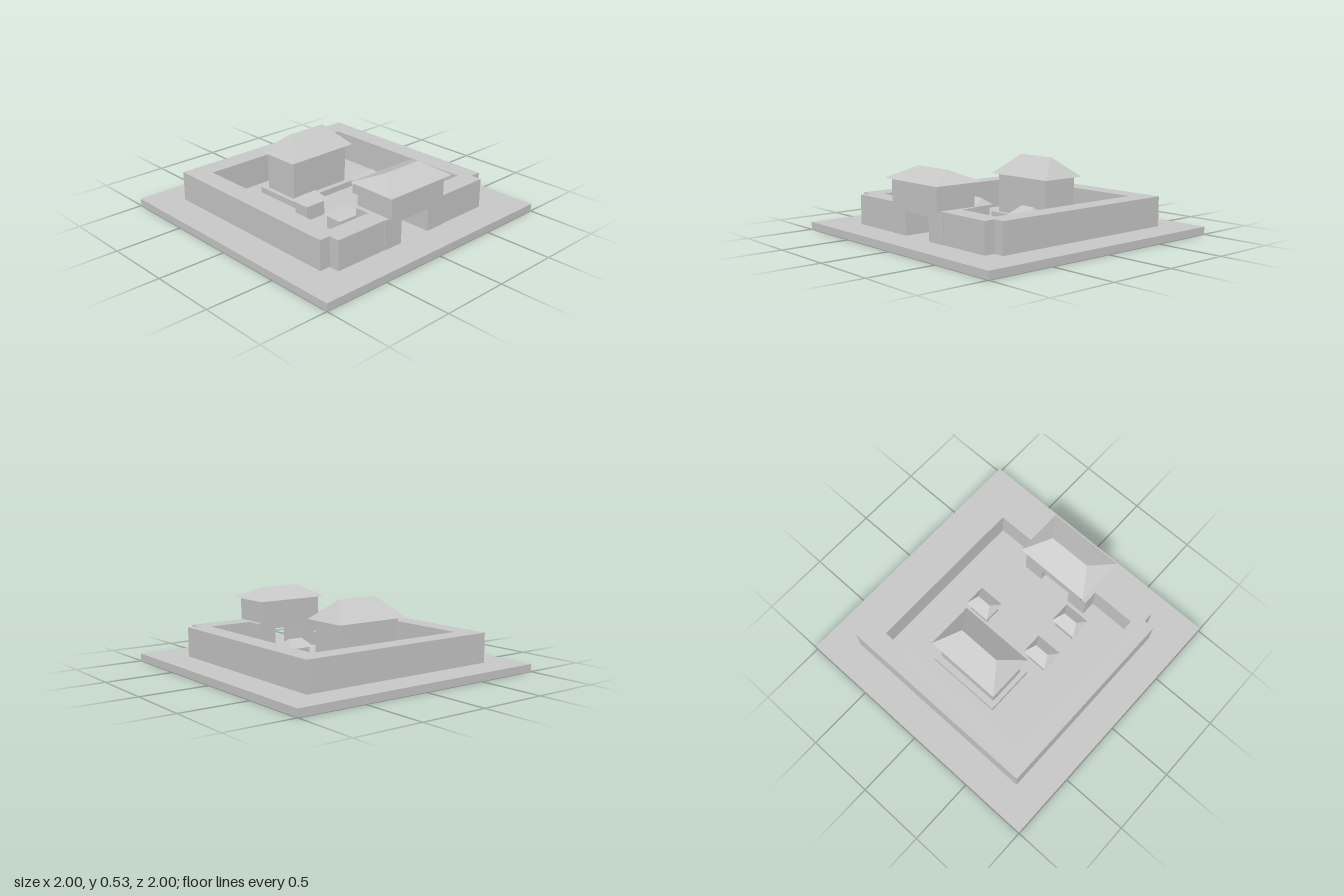
import * as THREE from 'three';

const stone = new THREE.MeshStandardMaterial({ color: 0xc8c8c8 });
stone.name = 'pale stone';

function addMesh(parent, name, geometry) {
  const mesh = new THREE.Mesh(geometry, stone);
  mesh.name = name;
  parent.add(mesh);
  return mesh;
}

// Box given by its limits on each axis
function addBox(parent, name, [x0, x1], [y0, y1], [z0, z1]) {
  const mesh = addMesh(parent, name, new THREE.BoxGeometry(x1 - x0, y1 - y0, z1 - z0));
  mesh.position.set((x0 + x1) / 2, (y0 + y1) / 2, (z0 + z1) / 2);
  return mesh;
}

// Hipped roof: a box whose top is squeezed to a ridge along x
function hippedRoof(width, depth, height, ridge) {
  const geometry = new THREE.BoxGeometry(width, height, depth).toNonIndexed();
  const p = geometry.attributes.position;
  for (let i = 0; i < p.count; i++) {
    if (p.getY(i) > 0) p.setXYZ(i, Math.sign(p.getX(i)) * ridge / 2, height / 2, 0);
  }
  geometry.translate(0, height / 2, 0);
  geometry.computeVertexNormals();
  return geometry;
}

// Rectangular house with an overhanging hipped roof
function addHouse(parent, name, o) {
  const house = new THREE.Group();
  house.name = name;
  house.position.set(o.x, 0, o.z);
  parent.add(house);
  addBox(house, 'houseWalls', [-o.w / 2, o.w / 2], [o.floor, o.eave], [-o.d / 2, o.d / 2]);
  addMesh(house, 'hippedRoof', hippedRoof(o.roofW, o.roofD, o.peak - o.eave, o.ridge)).position.y = o.eave;
}

export function createModel() {
  const model = new THREE.Group();
  model.name = 'walledCourt';
  const ground = 0.055, wallTop = 0.27;

  addBox(model, 'basePlate', [-1, 1], [0, ground], [-1, 1]);

  // Enclosing wall with notched front corners and a thicker gate block, open at the gate
  const half = [
    [0.13, 0.775], [0.285, 0.775], [0.285, 0.77], [0.69, 0.77], [0.69, 0.69], [0.77, 0.69], [0.77, -0.77],
  ];
  const inner = [[0.62, -0.62], [0.62, 0.62], [0.285, 0.62], [0.285, 0.51], [0.13, 0.51]];
  const mirror = (pts) => pts.map(([x, z]) => [-x, z]).reverse();
  const outline = [...half, ...mirror(half), ...mirror(inner), ...inner];
  const plan = new THREE.Shape(outline.map(([x, z]) => new THREE.Vector2(x, z)));
  const wall = new THREE.ExtrudeGeometry(plan, { depth: wallTop - ground, bevelEnabled: false });
  wall.rotateX(Math.PI / 2).translate(0, wallTop, 0);
  addMesh(model, 'enclosingWall', wall);
  addBox(model, 'gateLintel', [-0.13, 0.13], [0.22, wallTop], [0.51, 0.775]);

  // Gatehouse above the gate
  addHouse(model, 'gatehouse', {
    x: 0, z: 0.643, w: 0.5, d: 0.31, floor: wallTop, eave: 0.438, peak: 0.52, roofW: 0.58, roofD: 0.375, ridge: 0.32,
  });

  // Main hall on its low terrace
  addBox(model, 'hallTerrace', [-0.285, 0.285], [ground, 0.1], [-0.49, -0.115]);
  addHouse(model, 'mainHall', {
    x: 0, z: -0.3, w: 0.5, d: 0.285, floor: 0.1, eave: 0.388, peak: 0.53, roofW: 0.58, roofD: 0.355, ridge: 0.32,
  });

  // Small courtyard pavilions
  for (const [x, z] of [[-0.28, 0.043], [0.28, 0.043], [-0.272, 0.363]]) {
    addHouse(model, 'pavilion', {
      x, z, w: 0.16, d: 0.125, floor: ground, eave: 0.172, peak: 0.228, roofW: 0.2, roofD: 0.165, ridge: 0.11,
    });
  }
  return model;
}
